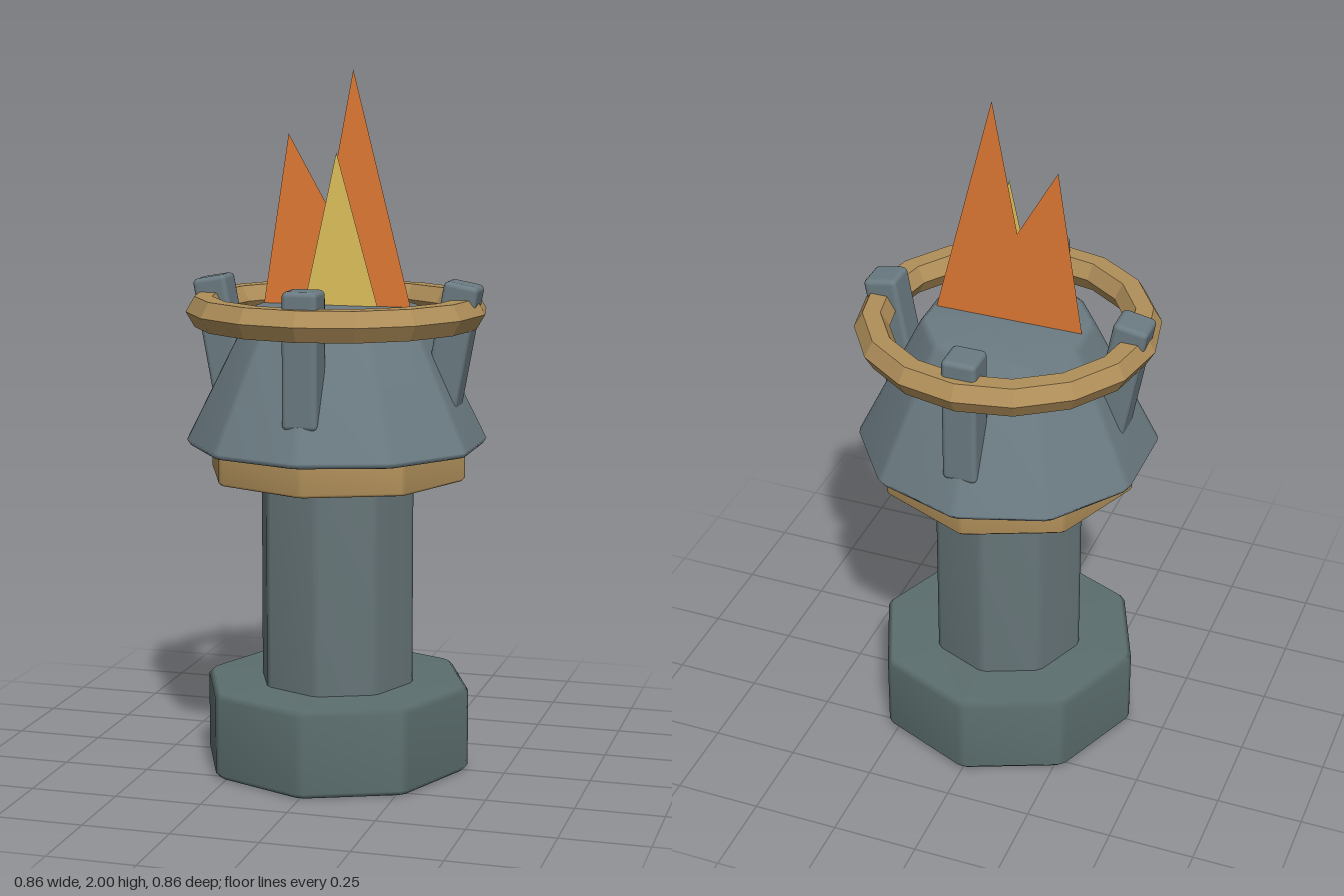
import * as THREE from 'three';
import { mergeVertices } from 'three/addons/utils/BufferGeometryUtils.js';
import { RoundedBoxGeometry } from 'three/addons/geometries/RoundedBoxGeometry.js';

const paint = (color, extra = {}) => new THREE.MeshStandardMaterial({ color, ...extra });

// Prism or frustum with n sides (first corner on +z) and chamfered upright edges.
// profile: [radius, y] pairs from bottom to top; chamfer: width cut off each corner.
function chamferedSolid(n, profile, chamfer) {
  const geo = new THREE.LatheGeometry(profile.map(([r, y]) => new THREE.Vector2(r, y)), 2 * n);
  const pos = geo.attributes.position;
  const half = Math.PI / n;
  for (let i = 0; i <= 2 * n; i++) {
    const k = i % (2 * n);
    profile.forEach(([r, y], j) => {
      const delta = r > 0 ? chamfer / r : 0;
      const angle = Math.floor(k / 2) * 2 * half + (k % 2 ? delta : -delta);
      const rad = r * Math.cos(half) / Math.cos(half - delta);
      pos.setXYZ(i * profile.length + j, rad * Math.sin(angle), y, rad * Math.cos(angle));
    });
  }
  // area-weighted normals keep large faces flat and soften the chamfers
  geo.deleteAttribute('uv');
  geo.deleteAttribute('normal');
  const merged = mergeVertices(geo, 1e-5);
  merged.computeVertexNormals();
  return merged;
}

// Closed straight profile with bevelled rims
const drum = (r, y0, y1, b) =>
  [[0, y0], [r - b, y0], [r, y0 + b], [r, y1 - b], [r - b, y1], [0, y1]];

function flatShape(points) {
  return new THREE.ShapeGeometry(new THREE.Shape(points.map(([x, y]) => new THREE.Vector2(x, y))));
}

export function createModel() {
  const model = new THREE.Group();
  model.name = 'torchPedestal';

  const stone = paint(0x6b7b82);
  const darkStone = paint(0x5c6e6e);
  const columnStone = paint(0x667578);
  const gold = paint(0xb08f5a);

  const add = (name, geometry, material, parent = model) => {
    const mesh = new THREE.Mesh(geometry, material);
    mesh.name = name;
    parent.add(mesh);
    return mesh;
  };

  // Pedestal
  add('base', chamferedSolid(8, drum(0.394, 0, 0.25, 0.015), 0.012), darkStone);
  add('column', chamferedSolid(8, drum(0.228, 0.23, 0.87, 0.01), 0.012), columnStone);
  add('collar', chamferedSolid(8, drum(0.378, 0.85, 0.955, 0.008), 0.008), gold);

  // Tapered bowl, closed on top
  add('bowl', chamferedSolid(10, [
    [0, 0.94], [0.422, 0.94], [0.432, 0.955], [0.25, 1.322], [0.232, 1.338], [0, 1.338],
  ], 0.012), stone);

  // Ring around the fire
  const ring = new THREE.TorusGeometry(0.38, 0.05, 6, 16);
  ring.rotateX(Math.PI / 2);
  add('ring', ring, paint(0xb08f5a, { flatShading: true })).position.y = 1.325;

  // Four prongs: the side pair leans outwards, the front and back pair is upright
  const prongs = new THREE.Group();
  prongs.name = 'prongs';
  model.add(prongs);
  const prongGeo = new RoundedBoxGeometry(0.1, 0.38, 0.1, 2, 0.015);
  for (const s of [1, -1]) {
    const side = add(s > 0 ? 'leftProng' : 'rightProng', prongGeo, stone, prongs);
    side.position.set(s * 0.337, 1.225, 0);
    side.rotation.z = -s * 0.18;
    const upright = add(s > 0 ? 'frontProng' : 'backProng', prongGeo, stone, prongs);
    upright.position.set(0, 1.225, s * 0.333);
  }

  // Flat flames
  const flames = new THREE.Group();
  flames.name = 'flames';
  model.add(flames);
  add('outerFlame', flatShape([
    [-0.217, 1.338], [0.215, 1.338], [0.047, 2], [-0.026, 1.615], [-0.142, 1.82],
  ]), paint(0xe07a35, { side: THREE.DoubleSide }), flames);
  add('innerFlame', flatShape([
    [-0.095, 1.338], [0.12, 1.338], [0, 1.77],
  ]), paint(0xdfc25c, { side: THREE.DoubleSide }), flames).position.z = 0.008;

  return model;
}
